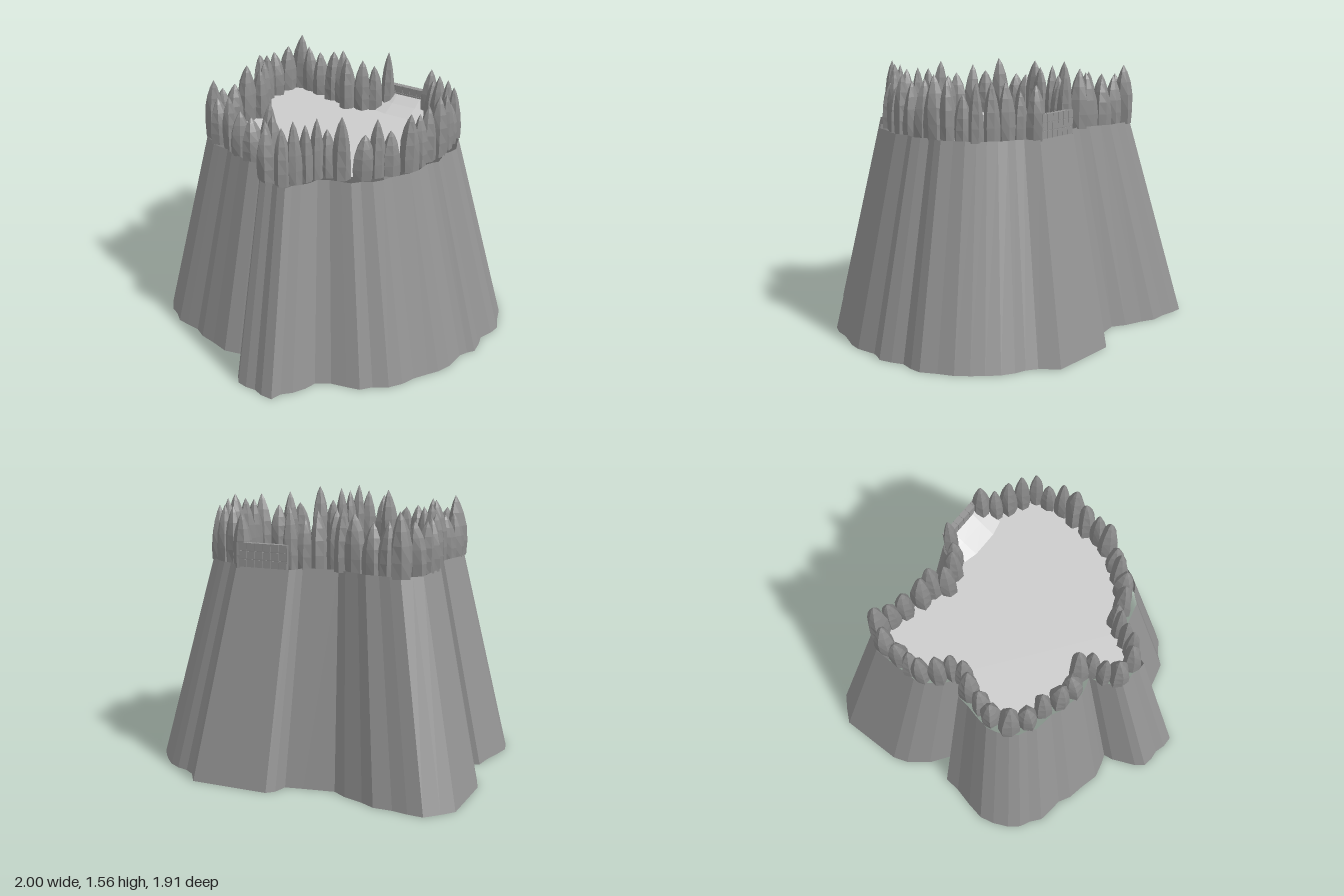
import * as THREE from 'three';

const RIM = 1.2;

// Plan of the cliff foot as x, z pairs
const foot = [
  -0.87, -0.94, -0.94, -0.87, -1, -0.8, -1, -0.41, -0.97, -0.32, -0.88, -0.2, -0.77, -0.12, -0.81, -0.07,
  -0.9, -0.04, -0.91, 0.06, -0.94, 0.18, -0.96, 0.29, -0.94, 0.38, -0.9, 0.47, -0.85, 0.53, -0.79, 0.56,
  -0.73, 0.61, -0.66, 0.62, -0.57, 0.63, -0.5, 0.67, -0.4, 0.69, -0.29, 0.72, -0.2, 0.7, -0.14, 0.68,
  -0.13, 0.74, -0.1, 0.81, -0.07, 0.88, -0.03, 0.93, 0.03, 0.94, 0.09, 0.935, 0.15, 0.955, 0.22, 0.955,
  0.24, 0.89, 0.29, 0.84, 0.33, 0.77, 0.35, 0.7, 0.43, 0.65, 0.52, 0.63, 0.6, 0.61, 0.65, 0.55,
  0.73, 0.5, 0.78, 0.43, 0.81, 0.35, 0.86, 0.27, 0.9, 0.21, 0.93, 0.13, 0.935, 0, 0.96, -0.05,
  0.99, -0.09, 0.98, -0.17, 0.96, -0.24, 0.99, -0.32, 1, -0.39, 0.96, -0.48, 0.93, -0.57, 0.88, -0.64,
  0.83, -0.7, 0.77, -0.76, 0.7, -0.8, 0.63, -0.82, 0.57, -0.86, 0.5, -0.96, 0.04, -0.96, 0, -0.92,
  -0.02, -0.84, -0.12, -0.82, -0.3, -0.79, -0.38, -0.84, -0.5, -0.88, -0.58, -0.92, -0.69, -0.92, -0.78, -0.935,
];

// Stake centres around the plateau, starting and ending beside the wall at the back
const ring = [
  0.03, -0.64, -0.02, -0.57, -0.09, -0.53, -0.18, -0.5, -0.25, -0.56, -0.33, -0.57, -0.44, -0.6, -0.53, -0.62,
  -0.62, -0.64, -0.675, -0.55, -0.68, -0.44, -0.69, -0.35, -0.68, -0.28, -0.63, -0.2, -0.57, -0.15, -0.55, -0.08,
  -0.6, 0, -0.62, 0.1, -0.64, 0.18, -0.62, 0.29, -0.53, 0.35, -0.43, 0.38, -0.33, 0.42, -0.23, 0.44,
  -0.14, 0.41, -0.08, 0.45, -0.07, 0.53, -0.02, 0.6, 0.09, 0.61, 0.14, 0.57, 0.17, 0.5, 0.2, 0.44,
  0.24, 0.39, 0.32, 0.37, 0.42, 0.31, 0.47, 0.24, 0.52, 0.18, 0.58, 0.08, 0.6, 0, 0.605, -0.09,
  0.62, -0.19, 0.62, -0.28, 0.605, -0.37, 0.59, -0.45, 0.52, -0.5, 0.44, -0.54, 0.37, -0.58, 0.32, -0.65,
];

const pairs = (a) => Array.from({ length: a.length / 2 }, (_, i) => new THREE.Vector2(a[2 * i], a[2 * i + 1]));

let seed = 7;
const rand = () => (seed = (seed * 16807) % 2147483647) / 2147483647;

function material(color, side = THREE.FrontSide) {
  return new THREE.MeshStandardMaterial({ color, flatShading: true, side });
}

function add(parent, name, geometry, mat) {
  const mesh = new THREE.Mesh(geometry, mat);
  mesh.name = name;
  parent.add(mesh);
  return mesh;
}

// Quads between two matching rows of points
function strip(low, high, closed) {
  const n = low.length, index = [];
  for (let i = 0; i < (closed ? n : n - 1); i++) {
    const j = (i + 1) % n;
    index.push(i, j, n + j, i, n + j, n + i);
  }
  const g = new THREE.BufferGeometry().setFromPoints([...low, ...high]);
  g.setIndex(index);
  g.computeVertexNormals();
  return g;
}

// Pointed stake with a rough faceted body and a slightly bent tip
function stakeGeometry(r, h) {
  const profile = [[0.95, -0.03], [1, 0.22], [0.93, 0.48], [0.7, 0.7], [0.36, 0.88], [0, 1]];
  const g = new THREE.LatheGeometry(profile.map(([a, b]) => new THREE.Vector2(a * r, b * h)), 7);
  const pos = g.attributes.position, phase = rand() * 6.28, bend = (rand() - 0.5) * r * 0.6;
  for (let i = 0; i < pos.count; i++) {
    const x = pos.getX(i), y = pos.getY(i), z = pos.getZ(i);
    const k = 1 + 0.1 * Math.sin(3 * Math.atan2(z, x) + phase + 9 * y);
    pos.setXYZ(i, x * k + bend * (y / h) ** 2, y, z * k);
  }
  g.rotateY(rand() * 6.28);
  g.computeVertexNormals();
  return g;
}

export function createModel() {
  const model = new THREE.Group();
  model.name = 'cliffFort';
  const cliffRock = material(0x949494, THREE.DoubleSide);
  const stakeRock = material(0x8c8c8c);
  const ground = material(0xd4d4d4, THREE.DoubleSide);

  // Cliff: the foot outline drawn in to the rim
  const outline = pairs(foot);
  const low = outline.map((p) => new THREE.Vector3(p.x, 0, p.y));
  const high = outline.map((p) => new THREE.Vector3(p.x * 0.71 - 0.015, RIM, p.y * 0.71 - 0.015));
  add(model, 'cliff', strip(low, high, true), cliffRock);

  // Plateau floor inside the stakes
  const centres = pairs(ring);
  const floor = new THREE.ShapeGeometry(new THREE.Shape(centres.map((p) => new THREE.Vector2(p.x, -p.y))));
  add(model, 'floor', floor.rotateX(-Math.PI / 2).translate(0, RIM - 0.005, 0), ground);

  // Palisade: each stake is about as thick as its neighbours allow
  const palisade = new THREE.Group();
  palisade.name = 'palisade';
  model.add(palisade);
  centres.forEach((p, i) => {
    const gaps = [centres[i - 1], centres[i + 1]].filter(Boolean).map((q) => q.distanceTo(p));
    const r = THREE.MathUtils.clamp(0.56 * Math.max(...gaps), 0.042, 0.056) * (0.92 + 0.2 * rand());
    const stake = add(palisade, 'stake', stakeGeometry(r, 0.23 + 0.13 * rand()), stakeRock);
    stake.position.set(p.x, RIM, p.y);
  });

  // Low block wall closing the gap at the back
  const blockWall = new THREE.Group();
  blockWall.name = 'blockWall';
  model.add(blockWall);
  const block = new THREE.BoxGeometry(0.046, 0.042, 0.036);
  for (let row = 0; row < 3; row++) {
    for (let col = 0; col < 6; col++) {
      add(blockWall, 'block', block, cliffRock).position.set(0.05 + col * 0.05, RIM + 0.022 + row * 0.046, -0.682);
    }
  }
  add(blockWall, 'mortar', new THREE.BoxGeometry(0.3, 0.134, 0.028), stakeRock).position.set(0.175, RIM + 0.067, -0.682);

  // Ramp rising from the floor to the block wall
  const across = (y, z) => [0.01, 0.09, 0.25, 0.34].map((x, i) =>
    new THREE.Vector3(x, y, z + (i === 0 || i === 3 ? -0.02 : 0)));
  add(model, 'ramp', strip(across(RIM, -0.51), across(RIM + 0.04, -0.6), false), ground);
  add(model, 'rampTop', strip(across(RIM + 0.04, -0.6), across(RIM + 0.08, -0.66), false), ground);

  return model;
}
